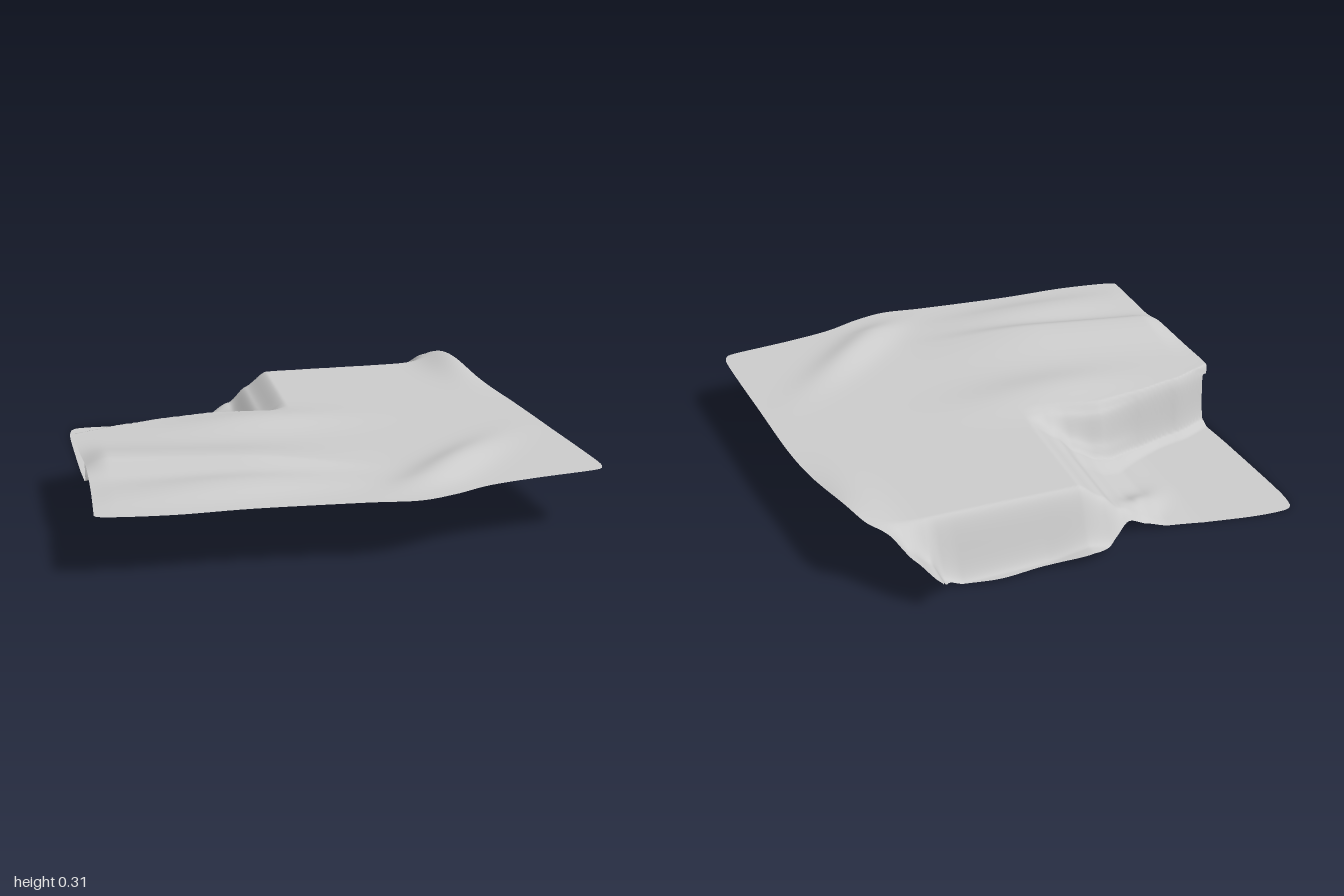
import * as THREE from 'three';

const N = 190;
const { smoothstep, lerp } = THREE.MathUtils;
const edge = pts => new THREE.SplineCurve(pts.map(p => new THREE.Vector2(p[0], p[1]))).getSpacedPoints(N);
const bump = (d, w) => Math.exp(-(d * d) / (w * w));

// Eased lookup in a short list of [position, value] pairs
function profile(table, t) {
  if (t <= table[0][0]) return table[0][1];
  for (let i = 1; i < table.length; i++) {
    const [a, va] = table[i - 1], [b, vb] = table[i];
    if (t <= b) return lerp(va, vb, lerp((t - a) / (b - a), smoothstep(t, a, b), 0.5));
  }
  return table[table.length - 1][1];
}

// Plan outline of the cloth, as (x, z)
const back = edge([[-0.99, -0.815], [-0.95, -0.84], [-0.8, -0.835], [-0.5, -0.79], [-0.3, -0.78], [-0.2, -0.83],
  [-0.07, -0.91], [0.1, -0.88], [0.3, -0.89], [0.47, -0.865], [0.53, -0.9], [0.565, -0.99]]);
const front = edge([[-0.975, 0.87], [-0.95, 0.91], [-0.7, 0.94], [-0.4, 0.94], [0, 0.965], [0.2, 0.985],
  [0.35, 0.95], [0.5, 0.89], [0.7, 0.85], [0.95, 0.815], [0.99, 0.79]]);
const left = edge([[-0.99, -0.815], [-1, -0.7], [-0.98, -0.3], [-0.965, -0.07], [-1, -0.02], [-0.995, 0.2],
  [-0.975, 0.5], [-0.975, 0.87]]);
const right = edge([[0.565, -0.99], [0.63, -0.94], [0.72, -0.82], [0.8, -0.73], [0.87, -0.4], [0.92, -0.1],
  [0.96, 0.3], [0.985, 0.55], [1, 0.74], [0.99, 0.79]]);

// Height of the hanging back hem along x
const hem = [[-0.5, 0.012], [-0.2, 0.025], [-0.07, 0.06], [0.1, 0.03], [0.45, 0.02], [0.52, 0.05],
  [0.57, 0.14], [0.65, 0.21], [0.72, 0.28], [0.8, 0.34]];
// Line of the step, and the side slope down to the low corner
const stepLine = [[-1, -0.025], [-0.8, -0.1], [-0.6, -0.145], [-0.4, -0.17], [-0.15, -0.12]];
const sideDrop = [[-0.6, 1], [-0.45, 0.96], [-0.35, 0.84], [-0.25, 0.6], [-0.17, 0.28], [-0.07, 0]];
const stepFall = [[0, 0], [0.25, 0.15], [0.55, 0.7], [0.75, 0.92], [1.4, 1]];

function height(x, z) {
  // Raised top with soft wrinkles
  const inset = smoothstep(0.97 - z, 0, 0.2) * smoothstep(x + 1.01, -0.03, 0.12);
  const ridge = z - (0.42 + 0.16 * (x + 0.9));
  const leftFade = 1 - smoothstep(x, -0.4, 0.25);
  let y = 0.266;
  y += inset * leftFade * 0.05 * bump(ridge, ridge > 0 ? 0.08 : 0.2);
  y += inset * 0.03 * bump(x + 0.45, 0.4) * bump(z - 0.72, 0.13);
  y += 0.03 * bump(x + 0.25, 0.35) * bump(z - 0.0, 0.14);
  y += inset * 0.035 * bump((x - 0.42) + (z - 0.66), 0.13) * bump((x - 0.42) - (z - 0.66), 0.5);
  // Lifted right edge near the back
  y += 0.055 * bump(x - 0.83, 0.12) * bump(z + 0.72, 0.3);

  // Step down to the low corner
  const width = lerp(0.07, 0.2, smoothstep(x, -0.7, -0.2));
  const drop = profile(stepFall, (profile(stepLine, x) - z) / width) * profile(sideDrop, x);
  y = lerp(y, 0.01, drop);
  y += 0.035 * bump((x + 0.36) - (z + 0.68) * -0.8, 0.08) * bump(z + 0.66, 0.1);

  // Back hem falling over the rear edge
  const fall = smoothstep(-z, 0.74, 0.865);
  return lerp(y, Math.min(y, profile(hem, x)), fall);
}

export function createModel() {
  // Blend the four edges into a sheet, then set its heights
  const pos = [], index = [], row = N + 1;
  for (let j = 0; j <= N; j++) {
    for (let i = 0; i <= N; i++) {
      const u = i / N, v = j / N;
      const blend = k => lerp(back[i][k], front[i][k], v) + lerp(left[j][k], right[j][k], u)
        - lerp(lerp(back[0][k], back[N][k], u), lerp(front[0][k], front[N][k], u), v);
      const x = blend('x'), z = blend('y');
      pos.push(x, Math.max(0, height(x, z)), z);
      if (i < N && j < N) {
        const a = j * row + i, b = a + 1, c = a + row, d = c + 1;
        index.push(a, c, b, b, c, d);
      }
    }
  }
  const geometry = new THREE.BufferGeometry();
  geometry.setAttribute('position', new THREE.Float32BufferAttribute(pos, 3));
  geometry.setIndex(index);
  geometry.computeVertexNormals();

  const cloth = new THREE.Mesh(geometry, new THREE.MeshStandardMaterial({ color: 0xcccccc, side: THREE.DoubleSide }));
  cloth.name = 'drapedCloth';
  const group = new THREE.Group();
  group.name = 'cloth';
  group.add(cloth);
  return group;
}
